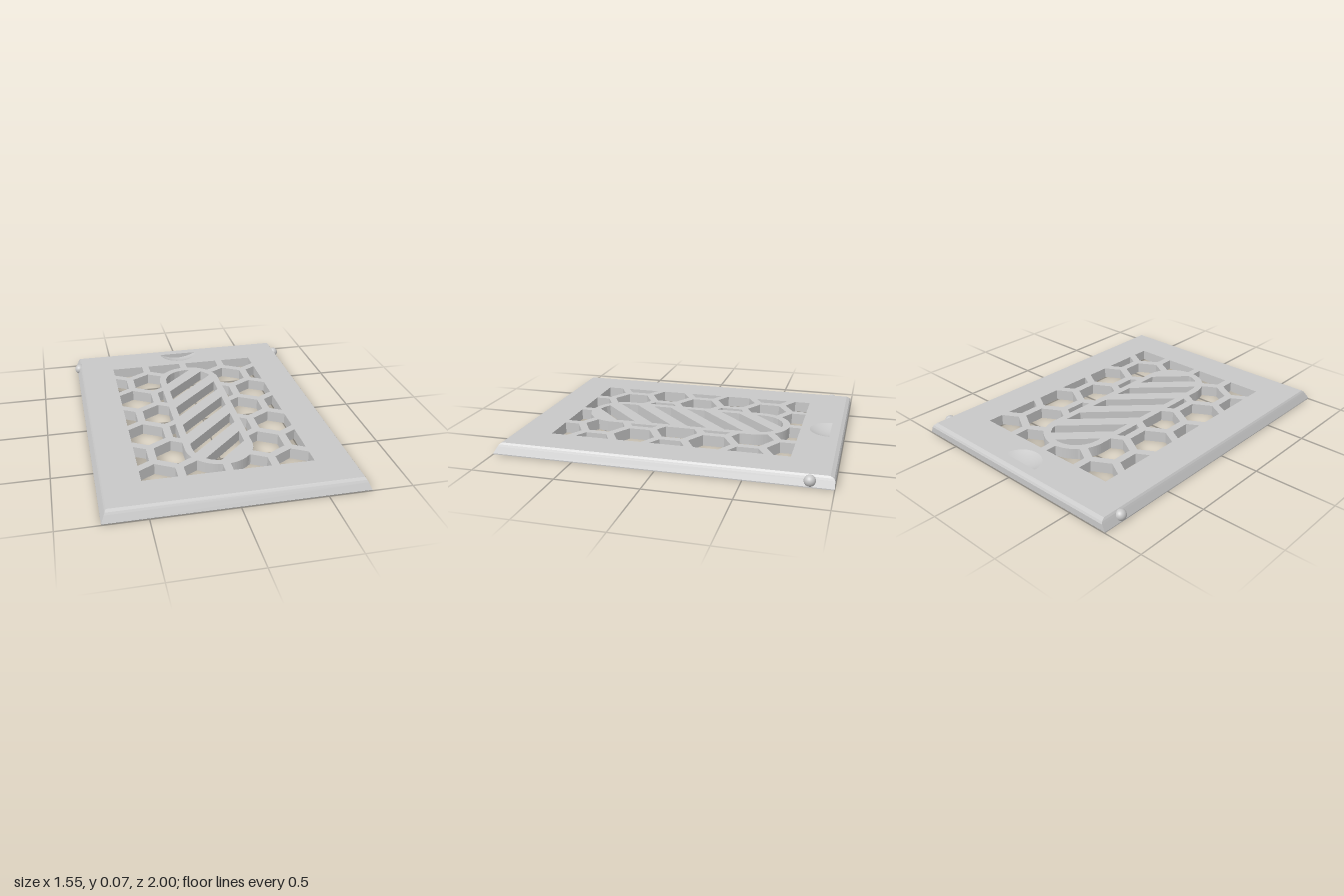
import * as THREE from 'three';

const H = 0.068;                      // plate thickness
const PITCH = 0.2725, ROW = 0.236;    // honeycomb spacing
const HEX = 0.1296;                   // radius of one hexagonal opening
const WIN = { x: 0.505, z: 0.733 };   // perforated window
const PANEL = { x: 0.6, z: 0.76 };    // block that carries the window
const RING = { outer: 0.207, inner: 0.163, axis: 0.455 };
const SCOOP = { r: 0.13, z: -0.917, depth: 0.032 };

// All outlines are lists of Vector2(x, z)
const V = (x, z) => new THREE.Vector2(x, z);
const rect = (x, z) => [V(-x, z), V(x, z), V(x, -z), V(-x, -z)];
const toShape = (pts, C = THREE.Shape) => new C(pts.map(p => V(p.x, -p.y)));

// Keep the part of a polygon where a*x + b*z <= c
function clip(poly, a, b, c) {
  const out = [];
  poly.forEach((p, i) => {
    const q = poly[(i + 1) % poly.length];
    const dp = a * p.x + b * p.y - c, dq = a * q.x + b * q.y - c;
    if (dp <= 0) out.push(p);
    if (dp * dq < 0) out.push(p.clone().lerp(q, dp / (dp - dq)));
  });
  return out;
}

function resample(poly, step) {
  return poly.flatMap((p, i) => {
    const q = poly[(i + 1) % poly.length];
    const n = Math.max(1, Math.ceil(p.distanceTo(q) / step));
    return Array.from({ length: n }, (_, k) => p.clone().lerp(q, k / n));
  });
}

// Capsule outline and distance to its axis
function capsule(r, n = 12) {
  const pts = [];
  for (const s of [1, -1])
    for (let i = 0; i <= n; i++) {
      const t = Math.PI * i / n;
      pts.push(V(s * r * Math.cos(t), s * (RING.axis + r * Math.sin(t))));
    }
  return pts;
}
const axisPoint = p => V(0, THREE.MathUtils.clamp(p.y, -RING.axis, RING.axis));
const inRing = p => p.distanceTo(axisPoint(p)) < RING.outer - 1e-6;

// Trim an opening so that it stops at the capsule ring
function trimToRing(poly) {
  const fine = resample(poly, 0.004);
  if (!fine.some(inRing)) return poly;
  const kept = fine.filter(p => !inRing(p));
  if (kept.length < 3) return [];
  return resample(kept, 0.015).map(p => {
    if (!inRing(p)) return p;
    const q = axisPoint(p);
    return p.clone().sub(q).setLength(RING.outer).add(q);
  });
}

function openings() {
  const list = [];
  // Honeycomb around the ring
  for (let k = -3; k <= 3; k++)
    for (let m = -3; m <= 3; m++) {
      const cx = (m + (k % 2 ? 0.5 : 0)) * PITCH, cz = k * ROW;
      let hex = Array.from({ length: 6 }, (_, i) => {
        const t = Math.PI / 6 + i * Math.PI / 3;
        return V(cx + HEX * Math.cos(t), cz + HEX * Math.sin(t));
      });
      for (const s of [1, -1]) hex = clip(clip(hex, s, 0, WIN.x), 0, s, WIN.z);
      if (hex.length > 2) list.push(trimToRing(hex));
    }
  // Slanted slots inside the ring
  for (let i = -3; i <= 4; i++) {
    const c = -0.172 + i * ROW, half = 0.06;
    list.push(clip(clip(capsule(RING.inner), 1, 1, c + half), -1, -1, half - c));
  }
  return list.filter(p => p.length > 2 && Math.abs(THREE.ShapeUtils.area(p)) > 0.0008);
}

// Bevelled outer border from stacked rectangular sections: y, half width, front z, back z
const SECTIONS = [
  [0, 0.755, 0.996, -0.996], [0.006, 0.755, 1, -1], [0.045, 0.737, 0.978, -1],
  [0.057, 0.731, 0.97, -0.993], [H, 0.723, 0.954, -0.972],
];
const corners = ([y, x, f, b]) => [[-x, y, f], [x, y, f], [x, y, b], [-x, y, b]];

function borderGeometry() {
  const pos = [];
  for (let s = 0; s < SECTIONS.length - 1; s++) {
    const lo = corners(SECTIONS[s]), hi = corners(SECTIONS[s + 1]);
    for (let i = 0; i < 4; i++) {
      const j = (i + 1) % 4;
      pos.push(...lo[i], ...lo[j], ...hi[j], ...lo[i], ...hi[j], ...hi[i]);
    }
  }
  const g = new THREE.BufferGeometry();
  g.setAttribute('position', new THREE.Float32BufferAttribute(pos, 3));
  g.computeVertexNormals();
  return g;
}

// Flat frame face around the panel, facing up
function frameFace(section, holes) {
  const shape = toShape(corners(section).map(c => V(c[0], c[2])));
  shape.holes = [rect(PANEL.x, PANEL.z), ...holes].map(h => toShape(h, THREE.Path));
  return new THREE.ShapeGeometry(shape).rotateX(-Math.PI / 2);
}

export function createModel() {
  const group = new THREE.Group();
  const grey = new THREE.MeshStandardMaterial({ color: 0xc8c8c8 });
  grey.name = 'grey';
  const add = (name, geometry) => {
    const mesh = new THREE.Mesh(geometry, grey);
    mesh.name = name;
    group.add(mesh);
    return mesh;
  };

  // Perforated panel
  const panel = toShape(rect(PANEL.x, PANEL.z));
  panel.holes = openings().map(h => toShape(h, THREE.Path));
  add('grillePanel', new THREE.ExtrudeGeometry(panel, { depth: H, bevelEnabled: false })
    .rotateX(-Math.PI / 2));

  // Solid frame; the underside is symmetrical, so it is simply turned over
  const N = 24;
  const scoopEdge = Array.from({ length: N + 1 }, (_, i) => {
    const t = Math.PI * i / N;
    return V(SCOOP.r * Math.cos(t), SCOOP.z + SCOOP.r * Math.sin(t));
  });
  add('frameBorder', borderGeometry());
  add('frameTop', frameFace(SECTIONS[SECTIONS.length - 1], [scoopEdge])).position.y = H;
  add('frameUnderside', frameFace(SECTIONS[0], []).rotateX(Math.PI));

  // Finger scoop: half bowl and its straight back wall
  const sag = r => -SCOOP.depth * (1 - (r / SCOOP.r) ** 2);
  const bowl = new THREE.RingGeometry(0.001, SCOOP.r, N, 8, Math.PI, Math.PI).rotateX(-Math.PI / 2);
  const p = bowl.attributes.position;
  for (let i = 0; i < p.count; i++) p.setY(i, sag(Math.hypot(p.getX(i), p.getZ(i))));
  bowl.computeVertexNormals();
  add('scoopBowl', bowl).position.set(0, H, SCOOP.z);
  const wall = new THREE.Shape(Array.from({ length: N + 1 }, (_, i) => {
    const x = SCOOP.r * (2 * i / N - 1);
    return V(x, sag(x));
  }));
  add('scoopWall', new THREE.ShapeGeometry(wall)).position.set(0, H, SCOOP.z);

  // Round catches on both sides
  for (const s of [1, -1])
    add(s > 0 ? 'leftCatch' : 'rightCatch', new THREE.SphereGeometry(0.033, 24, 16))
      .position.set(s * 0.74, 0.036, -0.866);

  return group;
}
